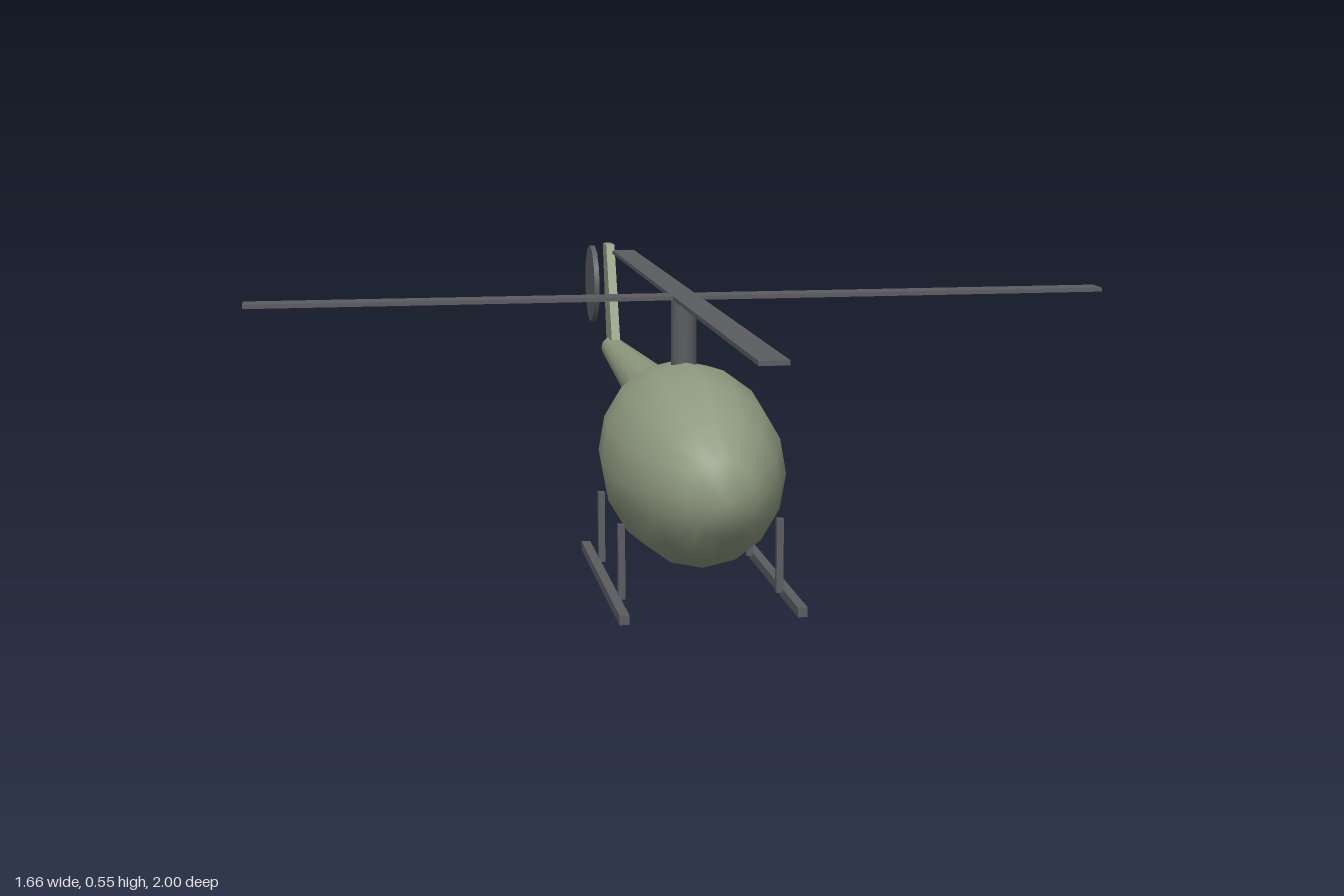
import * as THREE from 'three';

export function createModel() {
  const model = new THREE.Group();
  const green = new THREE.MeshStandardMaterial({ color: 0x8f9a80 });
  const grey = new THREE.MeshStandardMaterial({ color: 0x5c5d61 });

  const add = (name, geometry, material, x, y, z) => {
    const mesh = new THREE.Mesh(geometry, material);
    mesh.name = name;
    mesh.position.set(x, y, z);
    model.add(mesh);
    return mesh;
  };

  // Egg-shaped cabin, poles at nose and tail
  const cabin = new THREE.SphereGeometry(1, 16, 8).rotateX(Math.PI / 2).scale(0.17, 0.188, 0.375);
  add('cabin', cabin, green, 0, 0.242, 0.235);

  // Tapered tail boom
  const boom = new THREE.CylinderGeometry(0.06, 0.026, 0.78, 12).rotateX(Math.PI / 2);
  add('tailBoom', boom, green, 0, 0.299, -0.48);

  // Swept tail fin, drawn as (-z, y) and extruded across x
  const finShape = new THREE.Shape([
    [0.797, 0.322], [0.895, 0.308], [0.955, 0.543], [0.892, 0.545],
  ].map(([u, v]) => new THREE.Vector2(u, v)));
  const fin = new THREE.ExtrudeGeometry(finShape, { depth: 0.02, bevelEnabled: false })
    .translate(0, 0, -0.01).rotateY(Math.PI / 2);
  add('tailFin', fin, green, 0, 0, 0);

  // Tail rotor disc on the right of the fin
  const disc = new THREE.CylinderGeometry(0.092, 0.092, 0.012, 12).rotateZ(Math.PI / 2);
  add('tailRotor', disc, grey, -0.042, 0.45, -0.908);

  // Mast and crossed main blades
  add('mast', new THREE.CylinderGeometry(0.025, 0.025, 0.15, 12), grey, 0, 0.472, 0.167);
  add('crossBlades', new THREE.BoxGeometry(1.66, 0.008, 0.05), grey, 0, 0.55, 0.165);
  add('lengthBlades', new THREE.BoxGeometry(0.05, 0.008, 1.67), grey, 0, 0.55, 0.165);

  // Landing skids with two struts each
  for (const side of [1, -1]) {
    const label = side > 0 ? 'left' : 'right';
    add(label + 'Skid', new THREE.BoxGeometry(0.018, 0.018, 0.57), grey, side * 0.164, 0.009, 0.215);
    for (const [end, z] of [['Front', 0.36], ['Rear', 0.075]]) {
      add(label + end + 'Strut', new THREE.BoxGeometry(0.013, 0.142, 0.013), grey, side * 0.15, 0.082, z);
    }
  }
  return model;
}
